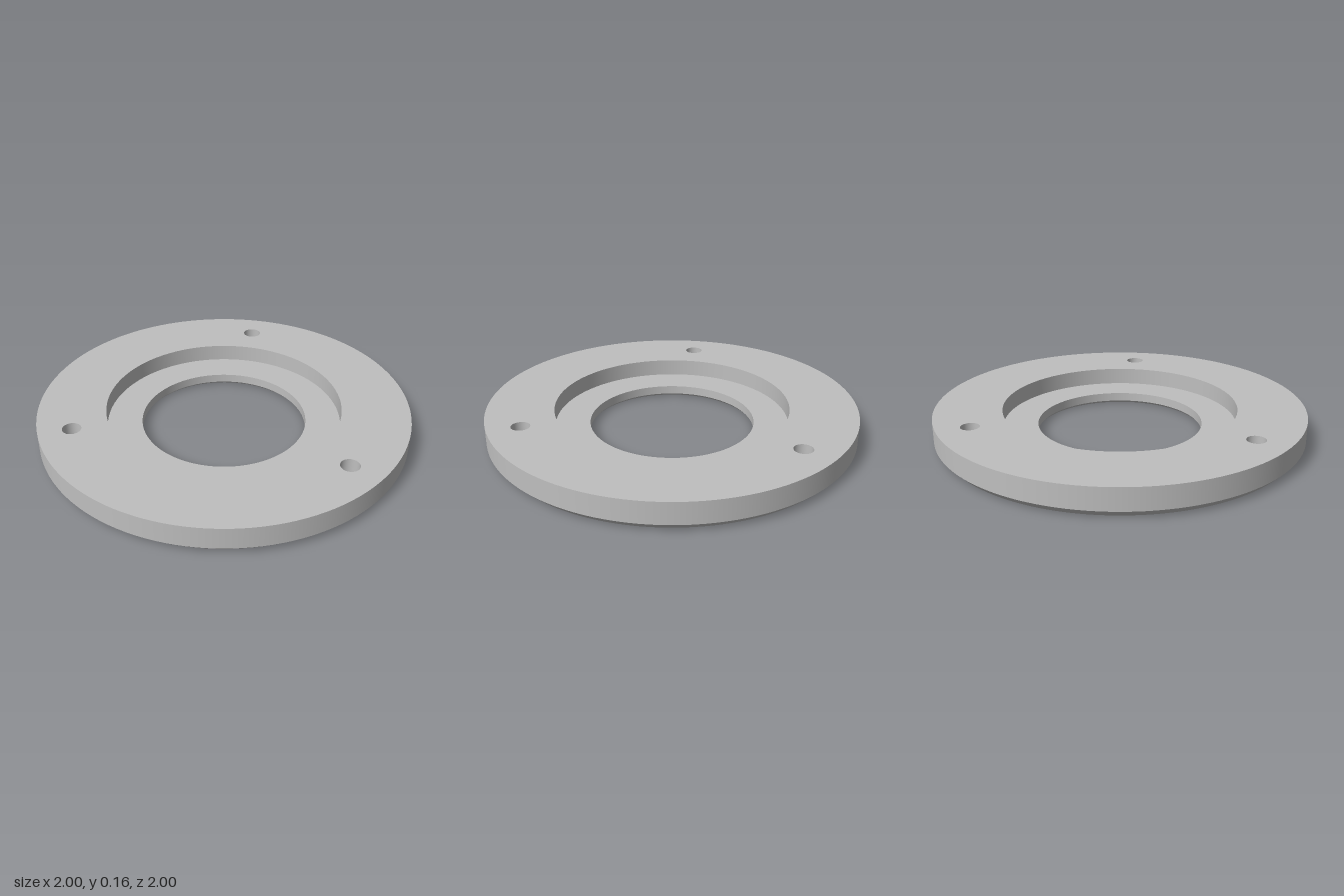
import * as THREE from 'three';

const H = 0.155;          // total thickness
const SEG = 128;          // segments of the large circles
const HOLE_SEG = 32;      // segments of the screw holes

export function createModel() {
  const grey = new THREE.MeshStandardMaterial({ color: 0xbfbfbf });
  grey.name = 'grey metal';
  const group = new THREE.Group();
  group.name = 'mountingRing';

  const add = (name, geometry, parent = group) => {
    const mesh = new THREE.Mesh(geometry, grey);
    mesh.name = name;
    parent.add(mesh);
    return mesh;
  };

  // One lathe band per profile segment keeps the edges sharp
  const bands = (name, profile, segments, parent) => {
    for (let i = 0; i < profile.length - 1; i++) {
      const pts = [profile[i], profile[i + 1]].map(([r, y]) => new THREE.Vector2(r, y));
      add(`${name}${i + 1}`, new THREE.LatheGeometry(pts, segments), parent);
    }
  };

  // Three screw holes, the first at the back
  const holes = [0, 1, 2].map((i) => {
    const a = (i * 2 * Math.PI) / 3;
    return { x: 0.825 * Math.sin(a), z: -0.825 * Math.cos(a) };
  });

  // Flat annulus pierced by the screw holes, facing up (1) or down (-1)
  const face = (outer, inner, holeRadius, y, dir) => {
    const circle = (path, x, yy, r, n) => {
      const pts = [];
      for (let i = 0; i < n; i++) {
        const a = (i / n) * 2 * Math.PI;
        pts.push(new THREE.Vector2(x + r * Math.cos(a), yy + r * Math.sin(a)));
      }
      return path.setFromPoints(pts);
    };
    const shape = circle(new THREE.Shape(), 0, 0, outer, SEG);
    shape.holes.push(circle(new THREE.Path(), 0, 0, inner, SEG));
    holes.forEach((h) =>
      shape.holes.push(circle(new THREE.Path(), h.x, -dir * h.z, holeRadius, HOLE_SEG)));
    return new THREE.ShapeGeometry(shape).rotateX((-dir * Math.PI) / 2).translate(0, y, 0);
  };

  add('topFace', face(1, 0.635, 0.05, H, 1));
  add('bottomFace', face(0.963, 0.46, 0.094, 0, -1));

  // Outer chamfer and rim
  bands('outerRim', [[0.963, 0], [1, 0.038], [1, H]], SEG, group);

  // Recess wall, recess floor, centre bore and its lower chamfer
  bands('recessAndBore',
    [[0.635, H], [0.635, 0.061], [0.447, 0.061], [0.447, 0.013], [0.46, 0]], SEG, group);

  // Countersunk screw holes
  holes.forEach((h, i) => {
    const hole = new THREE.Group();
    hole.name = `screwHole${i + 1}`;
    hole.position.set(h.x, 0, h.z);
    bands('holeWall', [[0.05, H], [0.05, 0.044], [0.094, 0]], HOLE_SEG, hole);
    group.add(hole);
  });

  return group;
}
